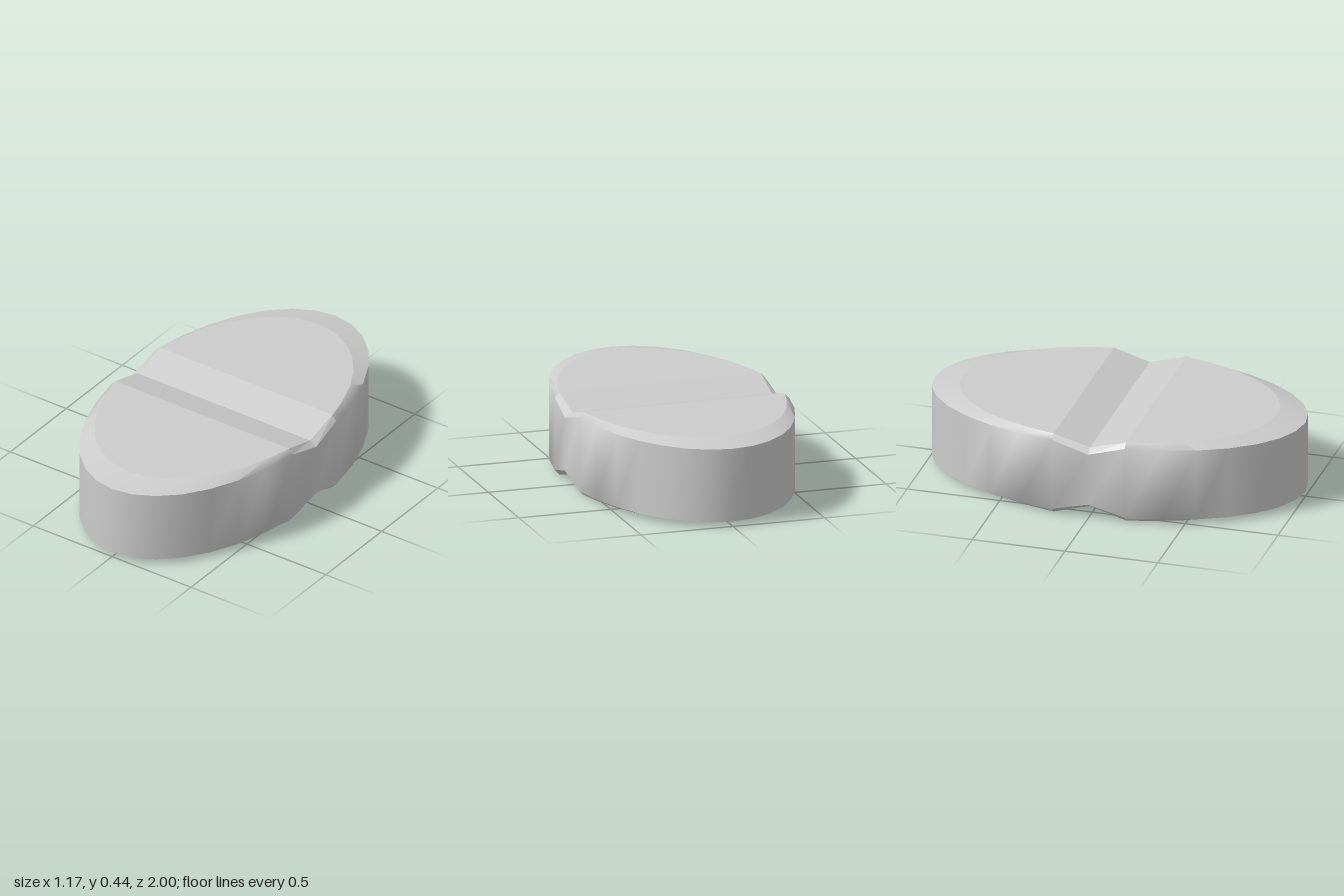
import * as THREE from 'three';
import { toCreasedNormals } from 'three/addons/utils/BufferGeometryUtils.js';

const N = 32, HEIGHT = 0.445;
const HALF = N / 2;

// Outline rings of the upper side; the lower side mirrors them in y
const isGrooveBottom = (i) => i % HALF === 0;
const isGrooveEdge = (i) => i % HALF === 1 || i % HALF === HALF - 1;

function outer(i) {
  i = (i + N) % N;
  const t = (i / N) * Math.PI * 2;
  return [0.585 * Math.cos(t), isGrooveBottom(i) ? 0.365 : 0.418, Math.sin(t)];
}

function inner(i) {
  i = (i + N) % N;
  const t = (i / N) * Math.PI * 2;
  const x = (isGrooveBottom(i) ? 0.545 : 0.56) * Math.cos(t);
  const z = (isGrooveEdge(i) ? 1 : 0.85) * Math.sin(t);
  return [x, isGrooveBottom(i) ? 0.39 : HEIGHT, z];
}

const flip = ([x, y, z]) => [x, HEIGHT - y, z];

// Fan of triangles over a convex polygon
function addPolygon(out, pts) {
  for (let k = 1; k < pts.length - 1; k++) out.push(...pts[0], ...pts[k], ...pts[k + 1]);
}

// The same polygon on the upper and the lower side
function addBoth(out, pts) {
  addPolygon(out, pts);
  addPolygon(out, pts.map(flip).reverse());
}

function toGeometry(positions) {
  const g = new THREE.BufferGeometry();
  g.setAttribute('position', new THREE.Float32BufferAttribute(positions, 3));
  g.computeVertexNormals();
  return g;
}

export function createModel() {
  const group = new THREE.Group();
  group.name = 'scoredTablet';
  const material = new THREE.MeshStandardMaterial({ color: 0xcccccc });
  const add = (name, geometry) => {
    const mesh = new THREE.Mesh(geometry, material);
    mesh.name = name;
    group.add(mesh);
  };

  // Elliptical wall with its bevels; bevels at the groove ends stay crisp
  const wall = [], grooveEnds = [];
  for (let i = 0; i < N; i++) {
    const j = i + 1;
    addPolygon(wall, [flip(outer(j)), flip(outer(i)), outer(i), outer(j)]);
    const atGroove = isGrooveBottom(i) || isGrooveBottom(j);
    addBoth(atGroove ? grooveEnds : wall, [outer(j), outer(i), inner(i), inner(j)]);
  }
  add('wall', toCreasedNormals(toGeometry(wall), THREE.MathUtils.degToRad(60)));
  add('grooveEndBevels', toGeometry(grooveEnds));

  // Flat faces in front of and behind the groove
  const faces = [];
  for (const start of [0, HALF]) {
    const pts = [];
    for (let i = HALF - 1; i >= 1; i--) pts.push(inner(start + i));
    addBoth(faces, pts);
  }
  add('flatFaces', toGeometry(faces));

  // V-shaped score groove across both faces
  const groove = [];
  addBoth(groove, [inner(HALF - 1), inner(1), inner(0), inner(HALF)]);
  addBoth(groove, [inner(HALF), inner(0), inner(-1), inner(HALF + 1)]);
  add('scoreGroove', toGeometry(groove));

  return group;
}
